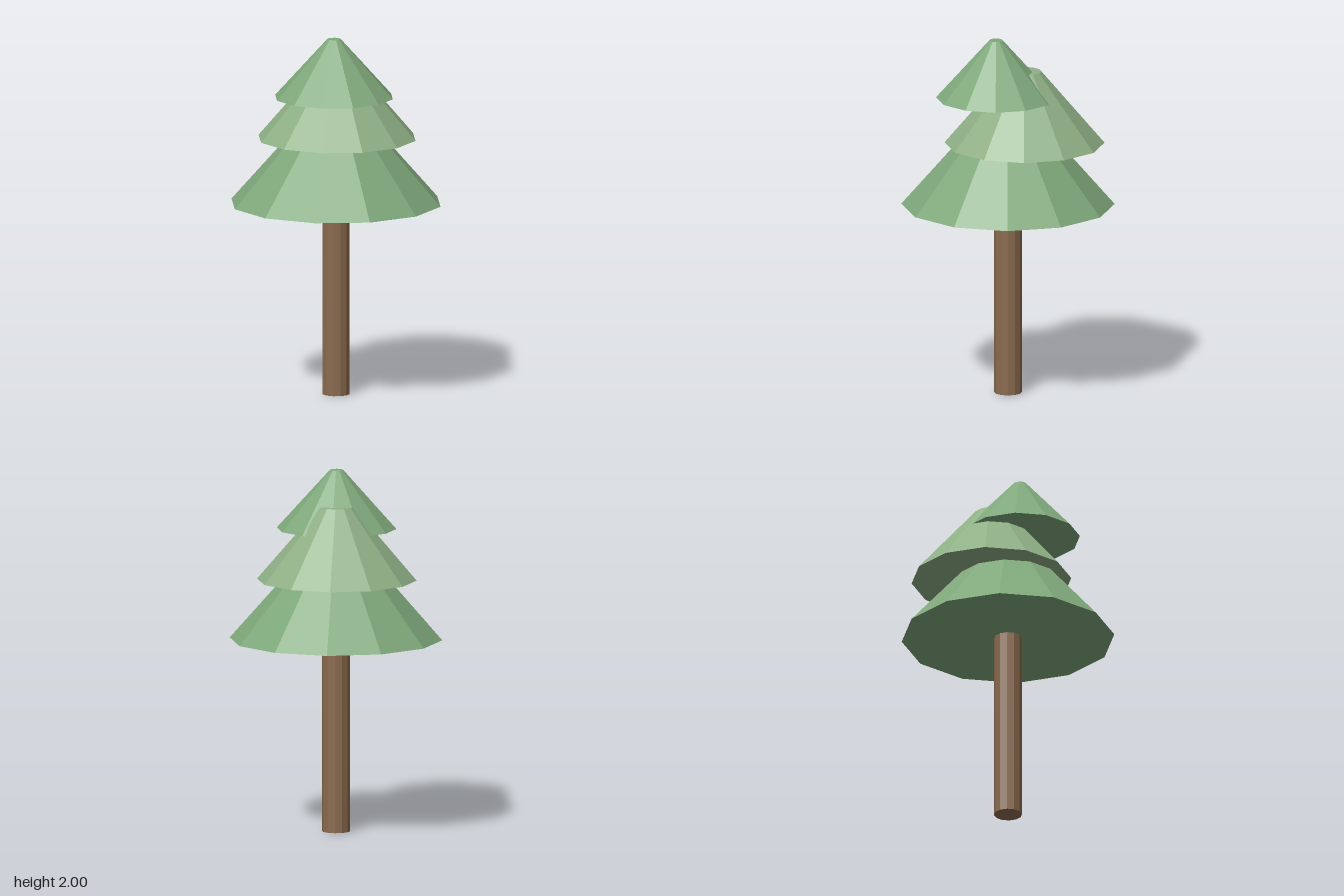
import * as THREE from 'three';

export function createModel() {
  const tree = new THREE.Group();
  tree.name = 'pineTree';

  // Tapered twelve-sided solid standing between two heights
  function addTier(name, color, rTop, rBottom, y0, y1, x = 0, z = 0) {
    const mesh = new THREE.Mesh(
      new THREE.CylinderGeometry(rTop, rBottom, y1 - y0, 12),
      new THREE.MeshStandardMaterial({ color, flatShading: true })
    );
    mesh.name = name;
    mesh.position.set(x, (y0 + y1) / 2, z);
    tree.add(mesh);
  }

  // Trunk, reaching a little into the foliage
  addTier('trunk', 0x8b6b4f, 0.077, 0.077, 0, 1.2);

  // Foliage tiers, the upper two set off the trunk axis
  addTier('lowerFoliage', 0x7fa87b, 0.12, 0.586, 1.07, 1.6);
  addTier('middleFoliage', 0x8fb086, 0.093, 0.44, 1.415, 1.82, 0.072, -0.056);
  addTier('upperFoliage', 0x7fa87b, 0.037, 0.33, 1.675, 2, -0.056, 0.035);

  return tree;
}
